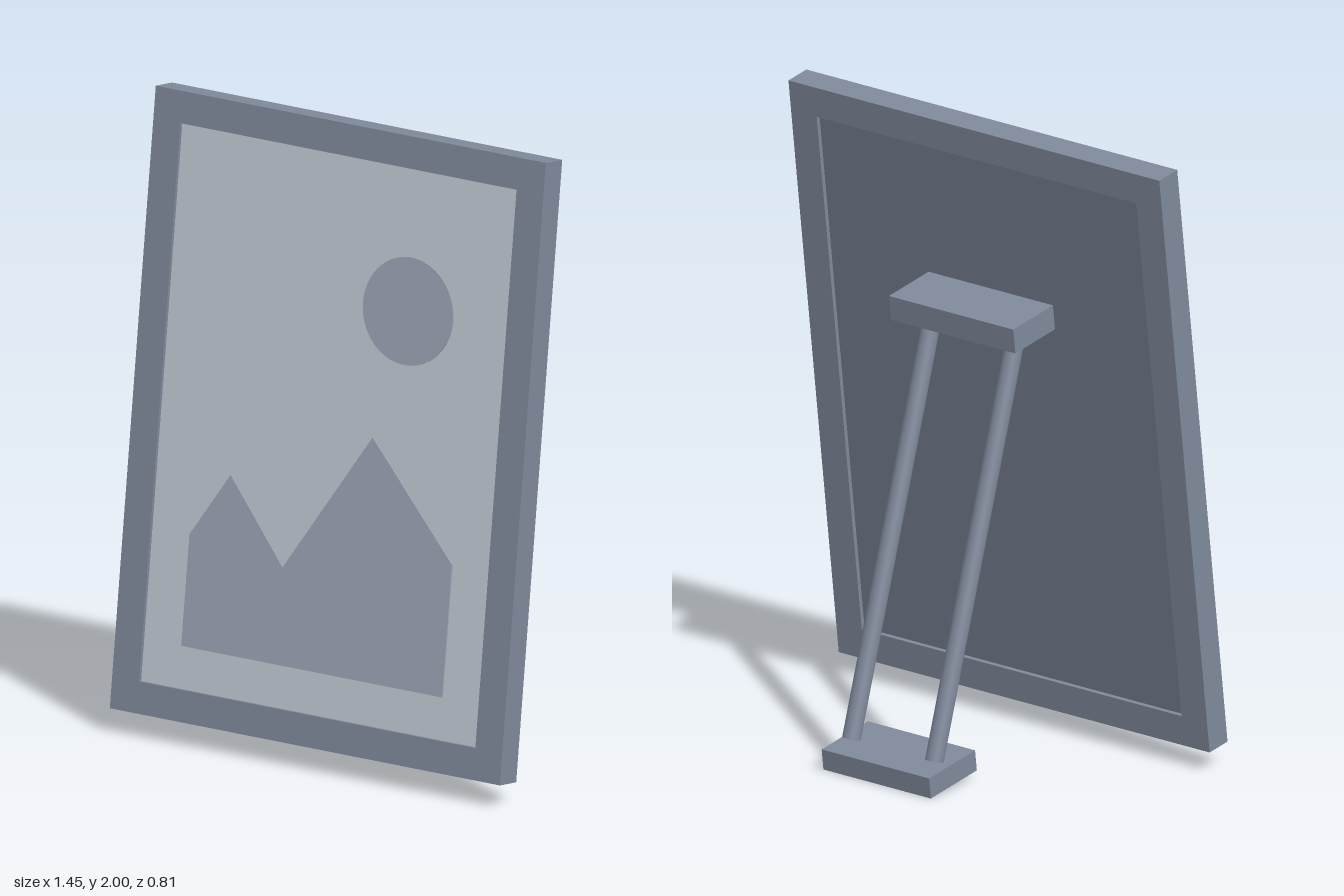
import * as THREE from 'three';

const material = (color) => new THREE.MeshStandardMaterial({ color });

function polygon(points) {
  return new THREE.Shape(points.map(([x, y]) => new THREE.Vector2(x, y)));
}

function rectangle(w, h) {
  return polygon([[-w, -h], [w, -h], [w, h], [-w, h]]);
}

export function createModel() {
  const frameColor = material(0x7f899b);
  const paperColor = material(0xc3cad5);
  const motifColor = material(0x9da5b6);
  const backColor = material(0x737d8e);

  const model = new THREE.Group();
  model.name = 'pictureFrame';

  const add = (parent, name, geometry, mat, x = 0, y = 0, z = 0) => {
    const mesh = new THREE.Mesh(geometry, mat);
    mesh.name = name;
    mesh.position.set(x, y, z);
    parent.add(mesh);
    return mesh;
  };
  const extrude = (shape, depth) =>
    new THREE.ExtrudeGeometry(shape, { depth, bevelEnabled: false, curveSegments: 32 });

  // Everything but the rods lies square to the leaning frame
  const leaning = new THREE.Group();
  leaning.name = 'leaningFrame';
  leaning.position.set(0, 1.034, 0.239);
  leaning.rotation.x = -0.127;
  model.add(leaning);

  // Border with a rectangular opening
  const border = rectangle(0.725, 0.968);
  border.holes.push(rectangle(0.625, 0.868));
  add(leaning, 'border', extrude(border, 0.088), frameColor, 0, 0, -0.044);

  // Picture sheet and backing, both slightly recessed
  add(leaning, 'pictureSheet', new THREE.BoxGeometry(1.25, 1.736, 0.03), paperColor, 0, 0, 0.018);
  add(leaning, 'backPanel', new THREE.BoxGeometry(1.25, 1.736, 0.033), backColor, 0, 0, -0.0135);

  // Flat sun and mountains on the sheet
  const sun = new THREE.Shape().absarc(0, 0, 0.167, 0, Math.PI * 2, false);
  add(leaning, 'sun', extrude(sun, 0.004), motifColor, 0.255, 0.428, 0.033);
  const mountains = polygon([
    [-0.485, -0.735], [0.485, -0.735], [0.485, -0.322], [0.16, 0.02],
    [-0.135, -0.433], [-0.35, -0.181], [-0.485, -0.388],
  ]);
  add(leaning, 'mountains', extrude(mountains, 0.004), motifColor, 0, 0, 0.033);

  // Upper mounting block and foot of the stand
  add(leaning, 'mountingBlock', new THREE.BoxGeometry(0.486, 0.081, 0.2), frameColor, 0, 0.387, -0.125);
  add(leaning, 'foot', new THREE.BoxGeometry(0.42, 0.068, 0.226), frameColor, 0, -0.907, -0.65);

  // Pair of round support rods
  for (const side of [-1, 1]) {
    const top = new THREE.Vector3(side * 0.162, 1.39, 0.086);
    const bottom = new THREE.Vector3(side * 0.162, 0.093, -0.322);
    const axis = top.clone().sub(bottom);
    const rod = add(model, side > 0 ? 'leftRod' : 'rightRod',
      new THREE.CylinderGeometry(0.029, 0.029, axis.length(), 24), frameColor);
    rod.position.copy(top).add(bottom).multiplyScalar(0.5);
    rod.quaternion.setFromUnitVectors(new THREE.Vector3(0, 1, 0), axis.normalize());
  }

  return model;
}
